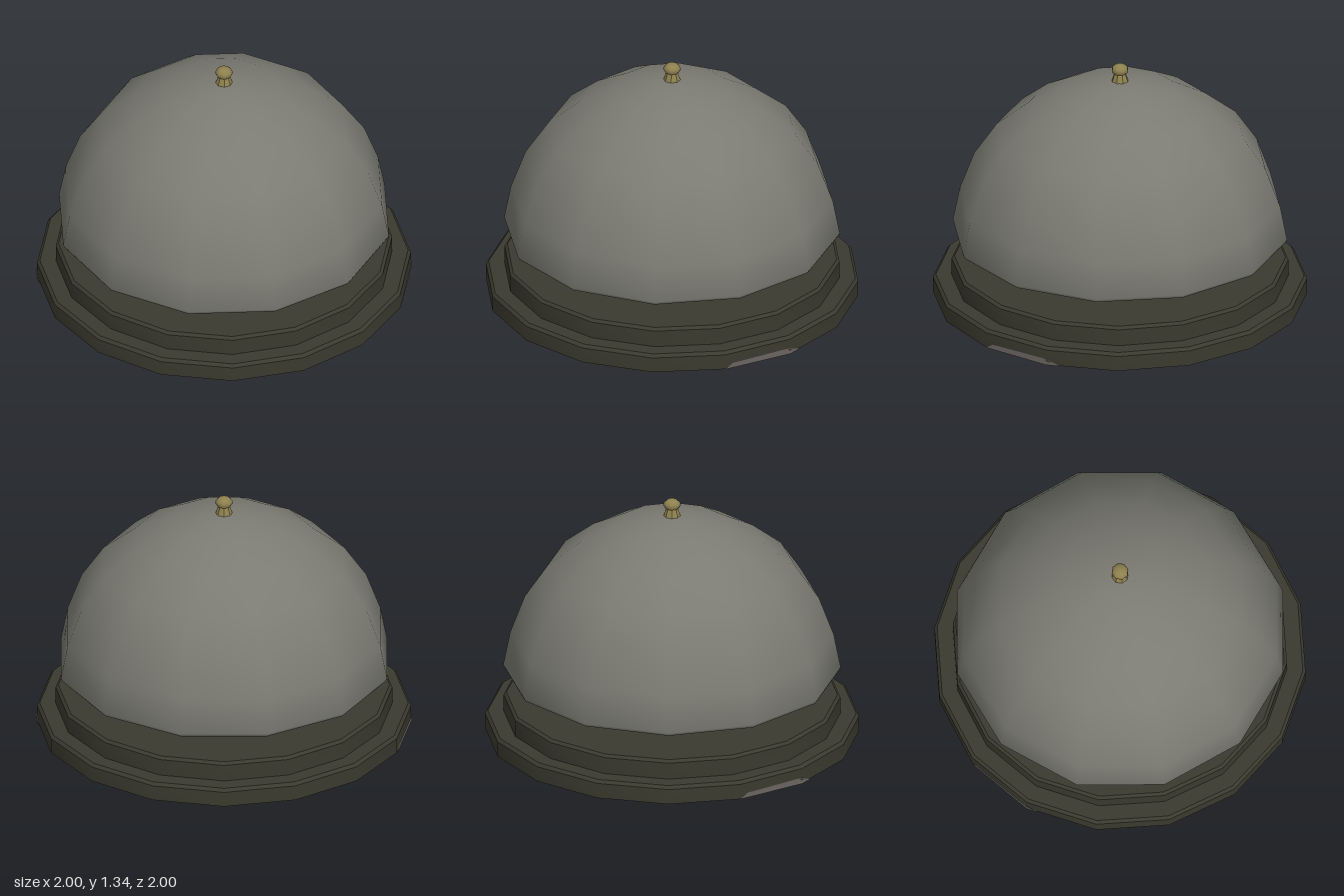
import * as THREE from 'three';
import { toCreasedNormals } from 'three/addons/utils/BufferGeometryUtils.js';

const material = (name, color) => {
  const m = new THREE.MeshStandardMaterial({ color, side: THREE.DoubleSide });
  m.name = name;
  return m;
};

// Turned part from [radius, height] pairs listed bottom to top
function turned(name, profile, sides, mat, crease = 0.62) {
  const points = profile.map(([r, y]) => new THREE.Vector2(r, y));
  const geometry = toCreasedNormals(new THREE.LatheGeometry(points, sides), crease);
  const mesh = new THREE.Mesh(geometry, mat);
  mesh.name = name;
  return mesh;
}

// Thin plate wrapped around a corner of the base rim
function rimPlate(name, mat) {
  const bottom = [[0.385, 0.923], [0.709, 0.709], [0.752, 0.645]];
  const top = [[0.42, 0.9], [0.68, 0.729], [0.709, 0.709]];
  const out = 1.003;
  const positions = [];
  bottom.forEach(([x, z], i) => {
    positions.push(x * out, 0, z * out);
    positions.push(top[i][0] * out, i === 0 ? 0.028 : 0.035, top[i][1] * out);
  });
  const geometry = new THREE.BufferGeometry();
  geometry.setAttribute('position', new THREE.Float32BufferAttribute(positions, 3));
  geometry.setIndex([0, 2, 1, 1, 2, 3, 2, 4, 3, 3, 4, 5]);
  geometry.computeVertexNormals();
  const mesh = new THREE.Mesh(geometry, mat);
  mesh.name = name;
  return mesh;
}

export function createModel() {
  const model = new THREE.Group();
  model.name = 'deskBell';
  const steel = material('greySteel', 0x7b7b73);
  const dark = material('darkBase', 0x3a3a2f);
  const brass = material('brass', 0x8f8250);
  const plate = material('plateGrey', 0x6a6461);

  // Hollow stepped base
  model.add(turned('base', [
    [1, 0], [1, 0.085], [0.985, 0.102], [0.9, 0.102],
    [0.9, 0.195], [0.885, 0.21], [0, 0.21],
  ], 16, dark));

  // Open dome with a rounded lip
  model.add(turned('dome', [
    [0.88, 0.35], [0.895, 0.353], [0.902, 0.37], [0.865, 0.56], [0.787, 0.77],
    [0.665, 0.95], [0.49, 1.09], [0.3, 1.192], [0.13, 1.236], [0, 1.253],
  ], 12, steel, 1.2));

  // Flared post under the dome
  model.add(turned('post', [
    [0.042, 0.205], [0.09, 0.35], [0.3, 0.95], [0, 0.95],
  ], 12, brass));

  // Push button on a tapered stem
  model.add(turned('buttonStem', [[0.046, 1.245], [0.028, 1.3]], 8, brass));
  model.add(turned('button', [
    [0, 1.293], [0.038, 1.293], [0.046, 1.305], [0.044, 1.323], [0.028, 1.338], [0, 1.343],
  ], 8, brass, 1));

  // Matching plates on opposite sides of the rim
  for (const [name, angle] of [['frontPlate', 0], ['backPlate', Math.PI]]) {
    const mesh = rimPlate(name, plate);
    mesh.rotation.y = angle;
    model.add(mesh);
  }
  return model;
}
